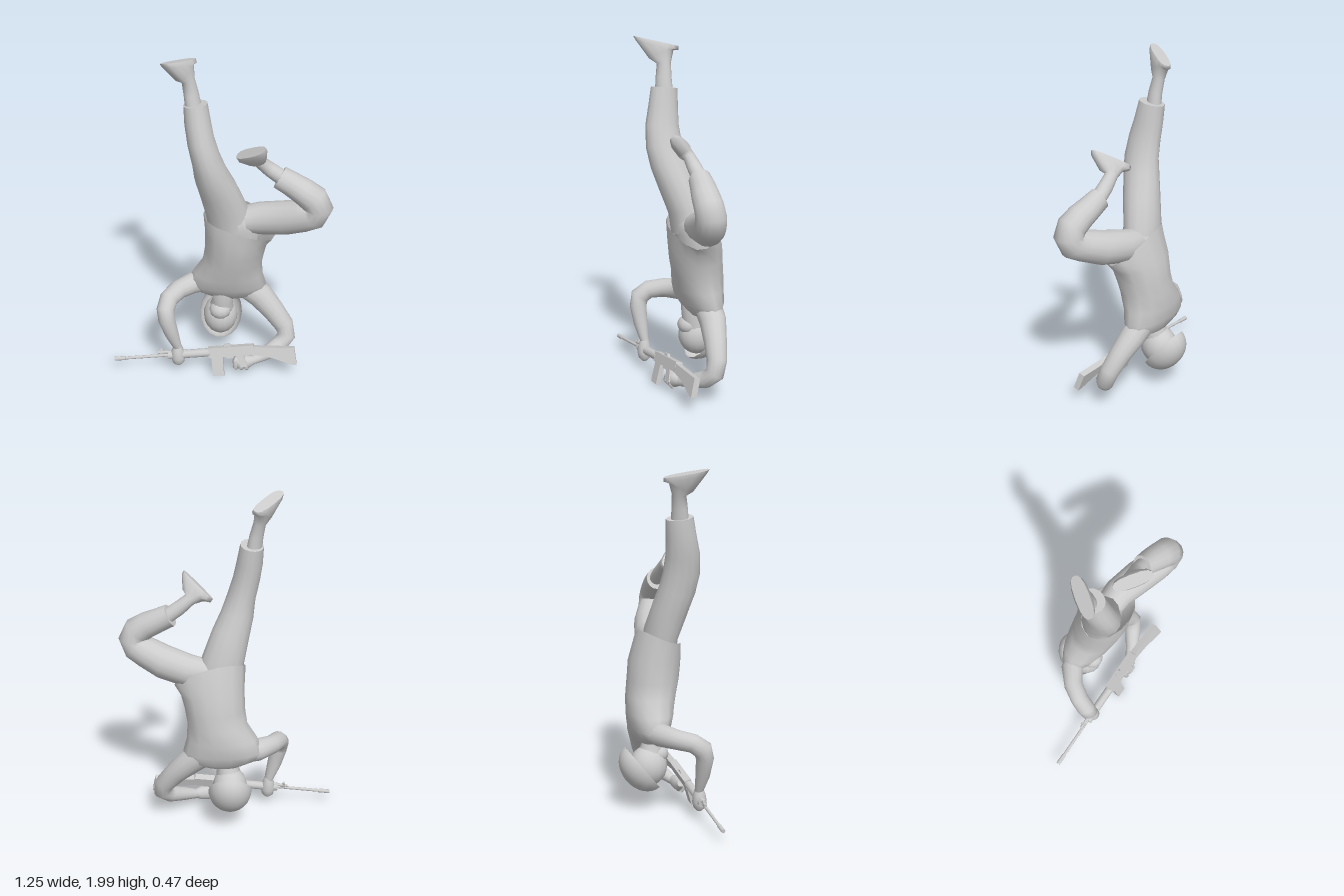
import * as THREE from 'three';

const V = (x, y, z) => new THREE.Vector3(x, y, z);
const SIDES = 14;

// Skin a list of rings, optionally closing either end with a flat cap.
function skin(rings, capStart, capEnd) {
  const pos = [], idx = [];
  rings.forEach(r => r.forEach(p => pos.push(p.x, p.y, p.z)));
  for (let i = 0; i < rings.length - 1; i++) {
    for (let j = 0; j < SIDES; j++) {
      const k = (j + 1) % SIDES;
      const a = i * SIDES + j, b = i * SIDES + k;
      idx.push(a, b, a + SIDES, b, b + SIDES, a + SIDES);
    }
  }
  const cap = (ring, flip) => {
    const base = pos.length / 3;
    const c = ring.reduce((s, p) => s.add(p), V(0, 0, 0)).divideScalar(SIDES);
    [...ring, c].forEach(p => pos.push(p.x, p.y, p.z));
    for (let j = 0; j < SIDES; j++) {
      const a = base + j, b = base + (j + 1) % SIDES;
      idx.push(base + SIDES, flip ? b : a, flip ? a : b);
    }
  };
  if (capStart) cap(rings[0], true);
  if (capEnd) cap(rings[rings.length - 1], false);
  const g = new THREE.BufferGeometry();
  g.setAttribute('position', new THREE.Float32BufferAttribute(pos, 3));
  g.setIndex(idx);
  g.computeVertexNormals();
  return g;
}

// Limb from stations [x, y, z, radius across, radius along ref, roundness].
// Roundness below 1 makes the ring squarer; flatFrom keeps later rings parallel to ref.
function limb(stations, ref, flatFrom = Infinity) {
  const pts = stations.map(s => V(s[0], s[1], s[2]));
  const n = pts.length - 1;
  const rings = stations.map(([, , , ra, rb, round = 1], i) => {
    const t = pts[Math.min(i + 1, n)].clone().sub(pts[Math.max(i - 1, 0)]).normalize();
    const r = ref.clone().normalize();
    if (i >= flatFrom) t.addScaledVector(r, -t.dot(r)).normalize();
    const b = r.addScaledVector(t, -r.dot(t)).normalize();
    const a = b.clone().cross(t);
    const bulge = v => Math.sign(v) * Math.abs(v) ** round;
    return Array.from({ length: SIDES }, (_, j) => {
      const w = j / SIDES * Math.PI * 2;
      return pts[i].clone().addScaledVector(a, bulge(Math.cos(w)) * ra)
        .addScaledVector(b, bulge(Math.sin(w)) * rb);
    });
  });
  return skin(rings, true, true);
}

// Torso from rings [x, y, z, rx, rz, slope in x, slope in z, lift of front and back], going down.
function torsoShape(stations) {
  return skin(stations.map(([x, y, z, rx, rz, sx = 0, sz = 0, lift = 0]) =>
    Array.from({ length: SIDES }, (_, j) => {
      const w = j / SIDES * Math.PI * 2;
      const dx = Math.cos(w) * rx, dz = Math.sin(w) * rz;
      return V(x + dx, y + dx * sx + dz * sz + lift * Math.sin(w) ** 2, z + dz);
    })), false, true);
}

export function createModel() {
  const model = new THREE.Group();
  const grey = new THREE.MeshStandardMaterial({ color: 0xcccccc, side: THREE.DoubleSide });
  grey.name = 'plain grey';
  const add = (name, geometry, parent = model) => {
    const m = new THREE.Mesh(geometry, grey);
    m.name = name;
    parent.add(m);
    return m;
  };
  const X = V(1, 0, 0), Z = V(0, 0, 1);

  // Shirt with a loose open hem at the waist
  add('torso', torsoShape([
    [0.10, 0.96, 0.028, 0.205, 0.125, -0.3, -0.38, 0.045],
    [0.083, 0.87, 0.0, 0.182, 0.15, -0.15, -0.1],
    [0.072, 0.77, -0.012, 0.174, 0.15],
    [0.057, 0.68, -0.029, 0.173, 0.145],
    [0.03, 0.59, -0.044, 0.205, 0.135],
    [0.025, 0.51, -0.054, 0.232, 0.117],
    [0.03, 0.455, -0.059, 0.212, 0.09, -0.03],
    [0.03, 0.42, -0.062, 0.12, 0.06]]));
  add('hips', limb([
    [0.08, 0.85, 0.0, 0.13, 0.10], [0.08, 0.94, 0.012, 0.14, 0.095],
    [0.07, 1.0, 0.02, 0.11, 0.09], [0.055, 1.045, 0.03, 0.06, 0.06]], Z));

  // Straight right leg
  add('rightTrouserLeg', limb([
    [0.05, 0.93, 0.02, 0.125, 0.095], [0.025, 1.05, 0.025, 0.122, 0.10],
    [-0.02, 1.2, 0.065, 0.108, 0.105], [-0.057, 1.31, 0.095, 0.094, 0.106],
    [-0.08, 1.41, 0.112, 0.081, 0.106], [-0.108, 1.52, 0.11, 0.076, 0.097],
    [-0.125, 1.62, 0.095, 0.073, 0.086], [-0.137, 1.725, 0.082, 0.066, 0.077]], Z));
  add('rightFoot', limb([
    [-0.145, 1.68, 0.08, 0.042, 0.052], [-0.16, 1.78, 0.075, 0.037, 0.045],
    [-0.176, 1.855, 0.066, 0.033, 0.04], [-0.195, 1.905, 0.072, 0.04, 0.075, 0.85],
    [-0.217, 1.95, 0.088, 0.044, 0.123, 0.75], [-0.225, 1.973, 0.092, 0.036, 0.132, 0.75]],
  V(-0.15, 0.05, 0.21), 4));

  // Bent left leg
  add('leftTrouserLeg', limb([
    [0.10, 0.98, 0.01, 0.075, 0.08], [0.22, 0.995, 0.012, 0.095, 0.088],
    [0.36, 1.03, 0.055, 0.098, 0.095], [0.46, 1.07, 0.098, 0.09, 0.092],
    [0.517, 1.10, 0.12, 0.088, 0.087], [0.54, 1.145, 0.127, 0.083, 0.085],
    [0.515, 1.195, 0.126, 0.082, 0.082], [0.455, 1.235, 0.115, 0.075, 0.078],
    [0.39, 1.27, 0.10, 0.069, 0.07], [0.322, 1.305, 0.088, 0.066, 0.06]], Z));
  add('leftFoot', limb([
    [0.36, 1.285, 0.09, 0.044, 0.044], [0.27, 1.35, 0.09, 0.041, 0.042],
    [0.21, 1.40, 0.095, 0.034, 0.037], [0.192, 1.418, 0.11, 0.04, 0.07, 0.85],
    [0.174, 1.452, 0.127, 0.044, 0.118, 0.75], [0.163, 1.473, 0.135, 0.036, 0.122, 0.75]],
  V(0.155, 0.11, 0.14), 4));

  // Neck, face and a domed helmet over the back of the head
  add('neck', limb([[0.0, 0.505, -0.02, 0.045, 0.055], [0.0, 0.46, -0.025, 0.066, 0.066],
    [0.0, 0.40, -0.03, 0.06, 0.066], [-0.01, 0.32, -0.05, 0.078, 0.08]], Z));
  const face = add('face', new THREE.SphereGeometry(1, 16, 12));
  face.position.set(-0.015, 0.27, -0.065);
  face.scale.set(0.102, 0.12, 0.112);
  const jaw = add('jaw', new THREE.SphereGeometry(1, 12, 8));
  jaw.position.set(-0.012, 0.34, -0.008);
  jaw.scale.set(0.066, 0.058, 0.066);
  const helmet = add('helmet', new THREE.SphereGeometry(1, 18, 8, 0, Math.PI * 2, 0, Math.PI / 2));
  helmet.position.set(-0.015, 0.264, -0.1);
  helmet.rotation.x = -Math.PI + 0.91;
  helmet.scale.set(0.127, 0.122, 0.162);

  // Right arm, reaching forward to the handguard
  add('rightArm', limb([
    [-0.08, 0.505, -0.06, 0.06, 0.07], [-0.18, 0.502, -0.035, 0.064, 0.066],
    [-0.26, 0.494, 0.035, 0.057, 0.056], [-0.305, 0.48, 0.115, 0.055, 0.054],
    [-0.318, 0.442, 0.168, 0.053, 0.058], [-0.312, 0.385, 0.182, 0.05, 0.052],
    [-0.285, 0.28, 0.178, 0.041, 0.043], [-0.252, 0.175, 0.168, 0.024, 0.027]], V(0.3, 1, 0.9)));
  add('rightHand', limb([
    [-0.25, 0.19, 0.168, 0.022, 0.024], [-0.252, 0.155, 0.17, 0.036, 0.036],
    [-0.25, 0.11, 0.172, 0.042, 0.042], [-0.248, 0.075, 0.172, 0.035, 0.034],
    [-0.246, 0.055, 0.172, 0.015, 0.015]], Z));

  // Left arm, folded back to the grip
  add('leftArm', limb([
    [0.13, 0.50, -0.06, 0.08, 0.08], [0.22, 0.43, -0.05, 0.078, 0.075],
    [0.30, 0.345, -0.025, 0.067, 0.064], [0.37, 0.255, 0.0, 0.059, 0.056],
    [0.387, 0.19, 0.02, 0.054, 0.054], [0.345, 0.145, 0.055, 0.05, 0.05],
    [0.26, 0.11, 0.11, 0.04, 0.04], [0.18, 0.085, 0.15, 0.026, 0.028]], V(0.4, 0.5, 1)));
  add('leftHand', limb([
    [0.20, 0.09, 0.145, 0.025, 0.025], [0.16, 0.085, 0.16, 0.042, 0.036],
    [0.115, 0.085, 0.165, 0.046, 0.034], [0.08, 0.1, 0.165, 0.02, 0.02]], Z));
  for (let i = 0; i < 3; i++) {
    const x = 0.085 + i * 0.032;
    add('leftFinger', limb([[x + 0.01, 0.1, 0.178, 0.015, 0.015], [x + 0.006, 0.065, 0.188, 0.014, 0.014],
      [x + 0.012, 0.042, 0.172, 0.01, 0.01]], X));
  }

  // Rifle, muzzle toward the model's right
  const rifle = new THREE.Group();
  rifle.name = 'rifle';
  rifle.position.set(0, 0.155, 0.165);
  rifle.rotation.set(-0.3, -0.01, 0.125);
  model.add(rifle);
  const rod = (name, x0, x1, r, y = 0) => {
    const m = add(name, new THREE.CylinderGeometry(r, r, x1 - x0, 10), rifle);
    m.rotation.z = Math.PI / 2;
    m.position.set((x0 + x1) / 2, y, 0);
  };
  const plate = (name, points, depth) => {
    const g = new THREE.ExtrudeGeometry(new THREE.Shape(points.map(p => new THREE.Vector2(...p))),
      { depth, bevelEnabled: false });
    g.translate(0, 0, -depth / 2);
    add(name, g, rifle);
  };
  rod('barrel', -0.635, -0.3, 0.009);
  rod('muzzle', -0.635, -0.57, 0.012);
  rod('gasTube', -0.37, -0.2, 0.009, 0.02);
  rod('handguard', -0.31, -0.06, 0.025);
  plate('frontSight', [[-0.36, 0], [-0.335, 0], [-0.34, 0.045], [-0.352, 0.045]], 0.014);
  plate('receiver', [[-0.07, -0.028], [0.19, -0.028], [0.21, 0.0], [0.2, 0.03], [-0.07, 0.03]], 0.042);
  plate('rearSight', [[0.02, 0.028], [0.07, 0.028], [0.06, 0.045], [0.03, 0.045]], 0.016);
  plate('magazine', [[-0.055, -0.02], [0.015, -0.02], [0.01, -0.15], [-0.055, -0.145]], 0.03);
  plate('triggerGuard', [[0.03, -0.02], [0.08, -0.02], [0.075, -0.045], [0.035, -0.045]], 0.012);
  plate('grip', [[0.09, -0.02], [0.135, -0.02], [0.155, -0.10], [0.115, -0.105]], 0.03);
  plate('stock', [[0.18, 0.025], [0.24, 0.015], [0.44, -0.005], [0.445, -0.112], [0.42, -0.108],
    [0.3, -0.055], [0.18, -0.026]], 0.036);
  return model;
}
